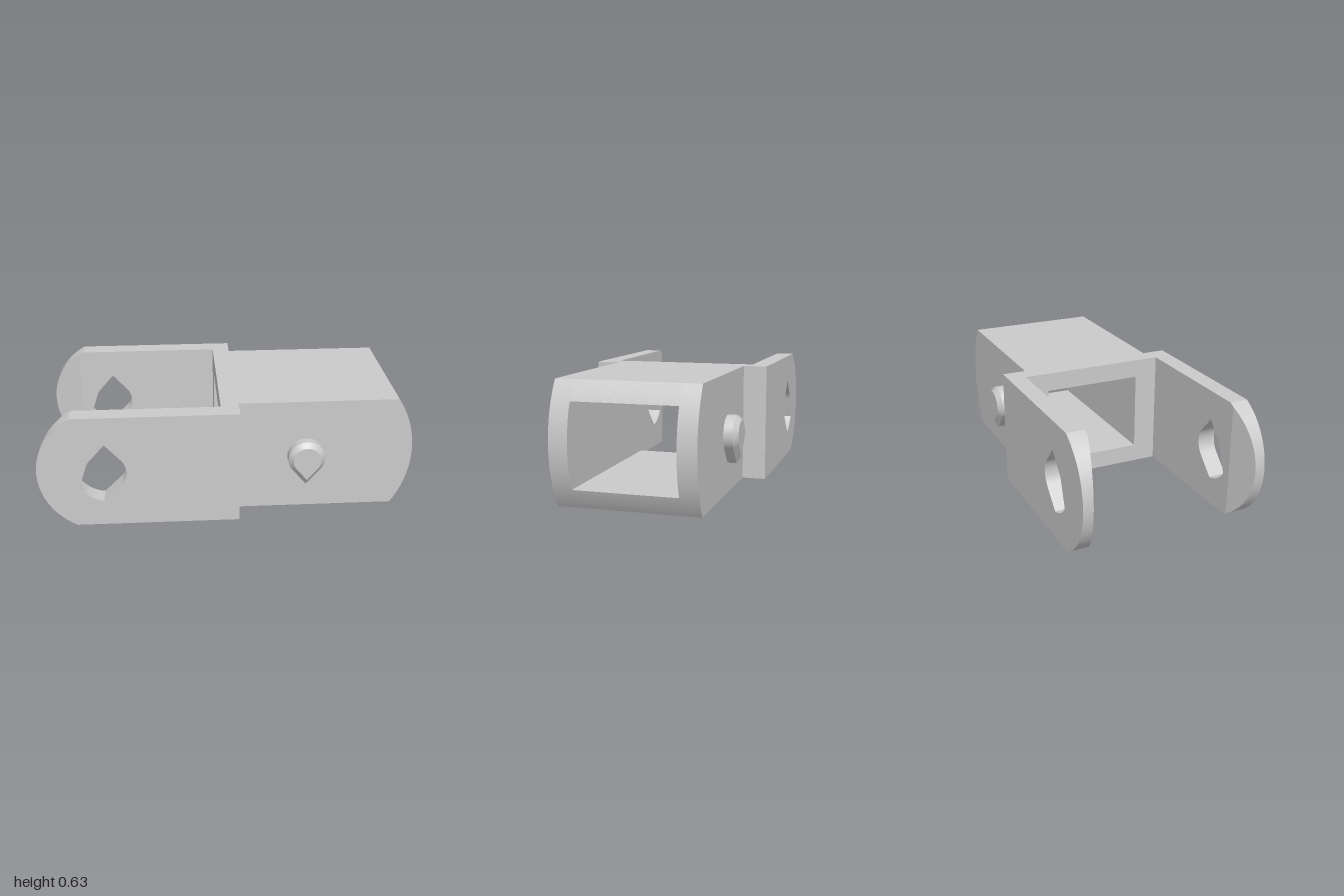
import * as THREE from 'three';
import { toCreasedNormals } from 'three/addons/utils/BufferGeometryUtils.js';

const H = 0.63, MID = H / 2;          // height and centre line
const Z_BORE = 0.27, Z_BODY = 0.368, Z_ARM = 0.398, Z_OUT = 0.495;
const X_BACK = -0.04, X_STEP = 0.055; // rear of the body, end of the fork

const grey = new THREE.MeshStandardMaterial({ color: 0xcacaca });
grey.name = 'grey';

// Extrudes an x-y shape between z = a and z = b; warp may move each vertex
function slab(name, shape, a, b, warp) {
  const geo = new THREE.ExtrudeGeometry(shape, {
    depth: Math.abs(b - a), bevelEnabled: false, curveSegments: 24,
  });
  geo.translate(0, 0, Math.min(a, b));
  if (warp) {
    const p = geo.attributes.position, v = new THREE.Vector3();
    for (let i = 0; i < p.count; i++) {
      warp(v.fromBufferAttribute(p, i));
      p.setXYZ(i, v.x, v.y, v.z);
    }
  }
  const mesh = new THREE.Mesh(toCreasedNormals(geo, 0.45), grey);
  mesh.name = name;
  return mesh;
}

// Body wall between two heights, ending in the large front arc
function wallShape(y0, y1) {
  const r = 0.57, angle = (y) => Math.asin((y - MID) / r);
  const s = new THREE.Shape();
  s.absarc(1 - r, MID, r, angle(y0), angle(y1), false);
  s.lineTo(X_BACK, y1);
  s.lineTo(X_BACK, y0);
  s.closePath();
  return s;
}

function blockShape() {
  const s = new THREE.Shape();
  s.moveTo(X_BACK, 0);
  s.lineTo(X_STEP, 0);
  s.lineTo(X_STEP, H);
  s.lineTo(X_BACK, H);
  s.closePath();
  return s;
}

// Fork arm: flat part with the keyed hole, and a rounded tip
const ARM_R = 0.356, ARM_X = -1 + ARM_R, TAPER_X = -0.835;
const cornerAngle = Math.PI - Math.asin(MID / ARM_R);
const taperAngle = Math.acos((TAPER_X - ARM_X) / ARM_R);

function armShape() {
  const s = new THREE.Shape();
  s.moveTo(X_STEP, 0);
  s.lineTo(X_STEP, H);
  s.absarc(ARM_X, MID, ARM_R, cornerAngle, taperAngle, false);
  s.absarc(ARM_X, MID, ARM_R, 2 * Math.PI - taperAngle, 2 * Math.PI - cornerAngle, false);
  s.closePath();

  const deg = Math.PI / 180, hole = new THREE.Path();
  hole.absarc(ARM_X, MID, 0.107, 135 * deg, 166 * deg, false);
  hole.absarc(ARM_X, MID, 0.168, 212 * deg, 264 * deg, false);
  hole.absarc(ARM_X, MID, 0.107, -45 * deg, 45 * deg, false);
  hole.lineTo(ARM_X, 0.476);
  hole.closePath();
  s.holes.push(hole);
  return s;
}

function tipShape() {
  const s = new THREE.Shape();
  s.absarc(ARM_X, MID, ARM_R, taperAngle, 2 * Math.PI - taperAngle, false);
  s.closePath();
  return s;
}

// Teardrop pin outline, pointing down
const PIN_X = 0.42, PIN_R = 0.099, PIN_DROP = 0.153;
function pinShape() {
  const half = Math.acos(PIN_R / PIN_DROP);
  const s = new THREE.Shape();
  s.absarc(PIN_X, MID, PIN_R, -Math.PI / 2 + half, 1.5 * Math.PI - half, false);
  s.lineTo(PIN_X, MID - PIN_DROP);
  s.closePath();
  return s;
}

export function createModel() {
  const model = new THREE.Group();
  model.name = 'chainLink';

  // Top and bottom of the hollow body
  model.add(slab('bodyFloor', wallShape(0, 0.1), -Z_BORE, Z_BORE));
  model.add(slab('bodyRoof', wallShape(0.53, H), -Z_BORE, Z_BORE));

  // Both sides
  for (const [side, s] of [['front', 1], ['back', -1]]) {
    model.add(slab(side + 'BodyWall', wallShape(0, H), s * Z_BORE, s * Z_BODY));
    model.add(slab(side + 'Shoulder', blockShape(), s * Z_BODY, s * Z_ARM));
    model.add(slab(side + 'Arm', armShape(), s * Z_ARM, s * Z_OUT));

    // Tip thins from the inside towards its end
    model.add(slab(side + 'ArmTip', tipShape(), s * Z_ARM, s * Z_OUT, (v) => {
      if (Math.abs(v.z) < 0.45) v.z += s * 0.044 * (TAPER_X - v.x) / (TAPER_X + 1);
    }));

    // Pin with a chamfered cap
    model.add(slab(side + 'Pin', pinShape(), s * Z_BODY, s * 0.416));
    model.add(slab(side + 'PinCap', pinShape(), s * 0.416, s * 0.442, (v) => {
      if (Math.abs(v.z) > 0.43) {
        v.x = PIN_X + (v.x - PIN_X) * 0.75;
        v.y = MID + (v.y - MID) * 0.75;
      }
    }));
  }
  return model;
}
